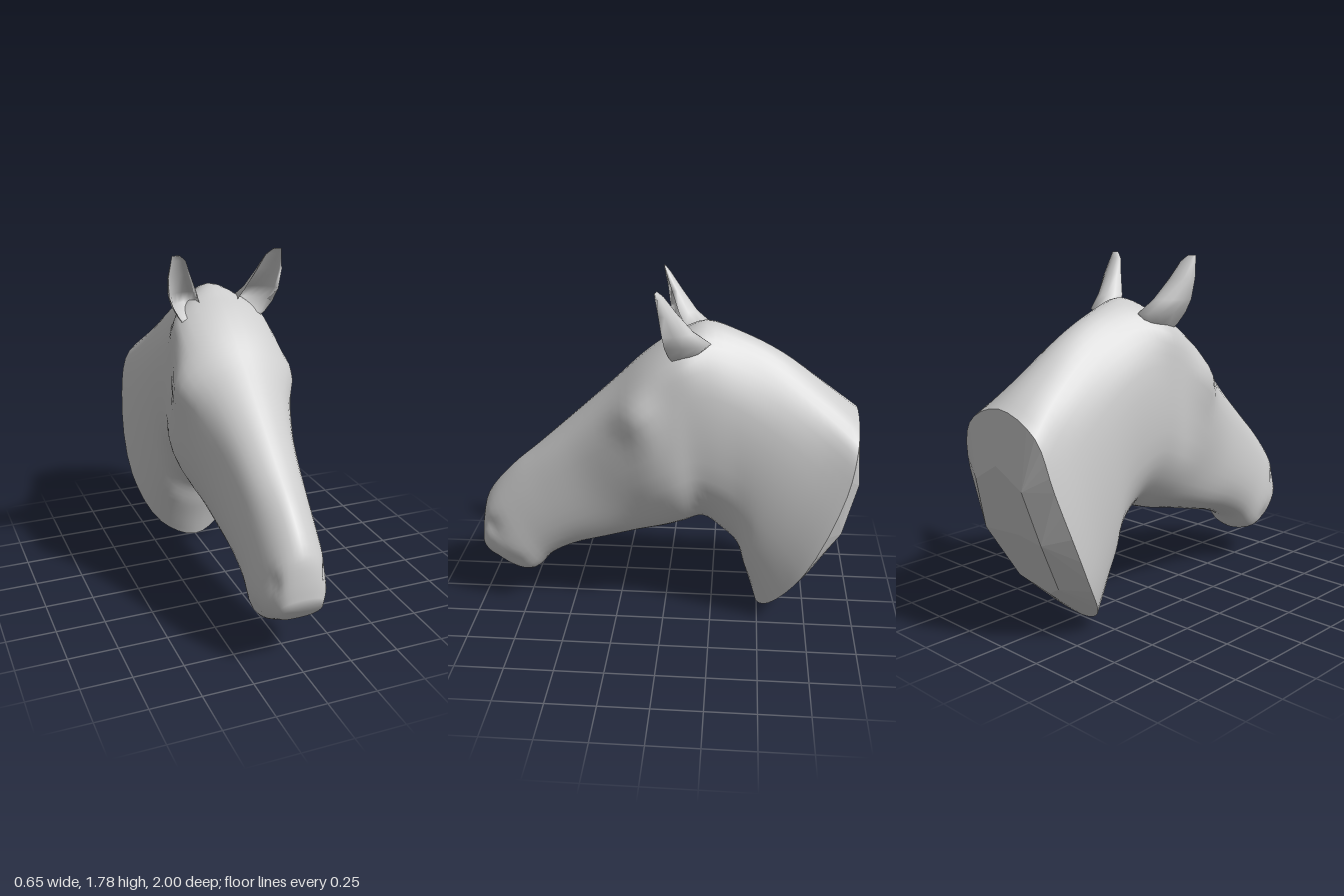
import * as THREE from 'three';

const V = (x, y, z) => new THREE.Vector3(x, y, z);

// Skin a list of equally long closed rings into one smooth surface
function skin(rings, material, name) {
  const n = rings[0].length, index = [];
  for (let i = 0; i < rings.length - 1; i++) {
    for (let j = 0; j < n; j++) {
      const a = i * n + j, b = i * n + (j + 1) % n;
      index.push(a, a + n, b, b, a + n, b + n);
    }
  }
  const g = new THREE.BufferGeometry().setFromPoints(rings.flat());
  g.setIndex(index);
  g.computeVertexNormals();
  const mesh = new THREE.Mesh(g, material);
  mesh.name = name;
  return mesh;
}

const centreOf = ring => ring.reduce((s, p) => s.add(p), V(0, 0, 0)).divideScalar(ring.length);

// Sections from neck cut to lips: top z, y, bottom z, y, four half-widths going down
const SECTIONS = [
  [-0.97, 1.14, -0.49, 0.005, 0.235, 0.305, 0.31, 0.19],
  [-0.80, 1.27, -0.455, 0.13, 0.17, 0.265, 0.28, 0.19],
  [-0.58, 1.43, -0.42, 0.24, 0.13, 0.245, 0.26, 0.18],
  [-0.38, 1.53, -0.38, 0.37, 0.12, 0.24, 0.25, 0.16],
  [-0.20, 1.585, -0.30, 0.45, 0.15, 0.25, 0.255, 0.15],
  [-0.09, 1.54, -0.20, 0.52, 0.215, 0.265, 0.26, 0.15],
  [0.00, 1.49, -0.10, 0.49, 0.23, 0.28, 0.27, 0.16],
  [0.12, 1.40, 0.00, 0.46, 0.225, 0.295, 0.255, 0.16],
  [0.27, 1.26, 0.13, 0.43, 0.18, 0.26, 0.23, 0.15],
  [0.48, 1.07, 0.30, 0.385, 0.135, 0.20, 0.205, 0.14],
  [0.67, 0.90, 0.48, 0.335, 0.11, 0.17, 0.19, 0.13],
  [0.83, 0.76, 0.61, 0.27, 0.09, 0.155, 0.18, 0.13],
  [0.96, 0.60, 0.70, 0.18, 0.09, 0.15, 0.175, 0.13],
  [0.99, 0.48, 0.79, 0.19, 0.095, 0.14, 0.15, 0.12],
  [1.00, 0.36, 0.92, 0.25, 0.07, 0.10, 0.10, 0.07],
];
const LEVELS = [0, 0.08, 0.28, 0.68, 0.92, 1];
const BOW = [0.10, 0.06, 0.02]; // backward curve of the neck's rear sections

// Local swellings and hollows: x, y, z, radius, amount
const BUMPS = [
  [0.29, 1.18, 0.17, 0.11, 0.04],    // brow
  [0.25, 0.75, 0.00, 0.18, 0.02],    // cheek
  [0.20, 0.60, -0.25, 0.10, -0.015], // hollow behind the jaw
  [0.14, 0.46, 0.93, 0.05, -0.02],   // nostril
  [0.15, 0.27, 0.80, 0.04, -0.015],  // mouth corner
];

function sculpt(p) {
  const side = Math.sign(p.x), ax = Math.abs(p.x);
  if (ax < 0.02) return p;
  let shift = 0;
  for (const [x, y, z, r, amount] of BUMPS) {
    const d2 = (ax - x) ** 2 + (p.y - y) ** 2 + (p.z - z) ** 2;
    shift += amount * Math.exp(-d2 / (r * r));
  }
  p.x += side * shift;
  return p;
}

function headRings(steps, around) {
  // One lengthwise guide curve for each level of the half section
  const guides = LEVELS.map((t, k) => new THREE.CatmullRomCurve3(SECTIONS.map((s, i) => {
    const x = k === 0 || k === 5 ? 0 : s[3 + k];
    const bow = (BOW[i] || 0) * 4 * t * (1 - t);
    return V(x, s[1] + (s[3] - s[1]) * t - bow * 0.3, s[0] + (s[2] - s[0]) * t - bow);
  })));
  const rings = [];
  for (let i = 0; i <= steps; i++) {
    const half = guides.map(g => g.getPoint(i / steps));
    const mirrored = half.slice(1, 5).reverse().map(p => V(-p.x, p.y, p.z));
    const loop = new THREE.CatmullRomCurve3([...half, ...mirrored], true);
    rings.push(Array.from({ length: around }, (_, j) => sculpt(loop.getPoint(j / around))));
  }
  return rings;
}

// Cupped ear, open to the front: y, centre x, half-width, edge z, depth to the back
const EAR = [
  [1.40, 0.15, 0.035, -0.07, 0.06],
  [1.46, 0.17, 0.06, -0.03, 0.13],
  [1.515, 0.182, 0.08, -0.01, 0.205],
  [1.58, 0.21, 0.08, 0.00, 0.135],
  [1.68, 0.238, 0.062, 0.015, 0.075],
  [1.76, 0.25, 0.04, 0.03, 0.035],
  [1.79, 0.265, 0.022, 0.035, 0.012],
];

function earRings(side) {
  const n = 14;
  const rings = EAR.map(([y, cx, rx, z, depth]) => Array.from({ length: n }, (_, j) => {
    const a = j / n * Math.PI * 2, s = Math.sin(a), c = Math.cos(a);
    const cup = y < 1.5 ? 0.1 : -0.5;
    const inner = 0.2 * depth * (1 - c); // inner edge lies further back
    return V(side * (cx + rx * c), y, z - inner + depth * (s > 0 ? cup * s : 0.85 * s));
  }));
  const tip = centreOf(rings[rings.length - 1]);
  rings.push(rings[0].map(() => tip.clone()));
  return side > 0 ? rings : rings.map(r => r.reverse());
}

export function createModel() {
  const group = new THREE.Group();
  group.name = 'horseHead';
  const grey = new THREE.MeshStandardMaterial({ color: 0xcccccc });
  const facets = new THREE.MeshStandardMaterial({ color: 0xcccccc, flatShading: true });
  const thin = new THREE.MeshStandardMaterial({ color: 0xcccccc, side: THREE.DoubleSide });

  // Neck, skull and muzzle in one skin, closed at the lips
  const rings = headRings(56, 40);
  const lips = centreOf(rings[rings.length - 1]);
  group.add(skin([...rings, rings[0].map(() => lips.clone())], grey, 'headAndNeck'));

  // Faceted, bulging cap over the neck cut
  const rim = rings[0], centre = centreOf(rim);
  const bulge = V(0, -0.04, -0.10);
  const middle = rim.map((p, j) => {
    const corner = Math.round(j / 5) * 5 % rim.length; // coarse facets
    return centre.clone().lerp(rim[corner], 0.62).add(bulge);
  });
  const hub = centre.clone().add(bulge);
  group.add(skin([rim.map(() => hub.clone()), middle, rim], facets, 'neckCap'));

  // Ears
  group.add(skin(earRings(1), thin, 'leftEar'), skin(earRings(-1), thin, 'rightEar'));
  return group;
}
